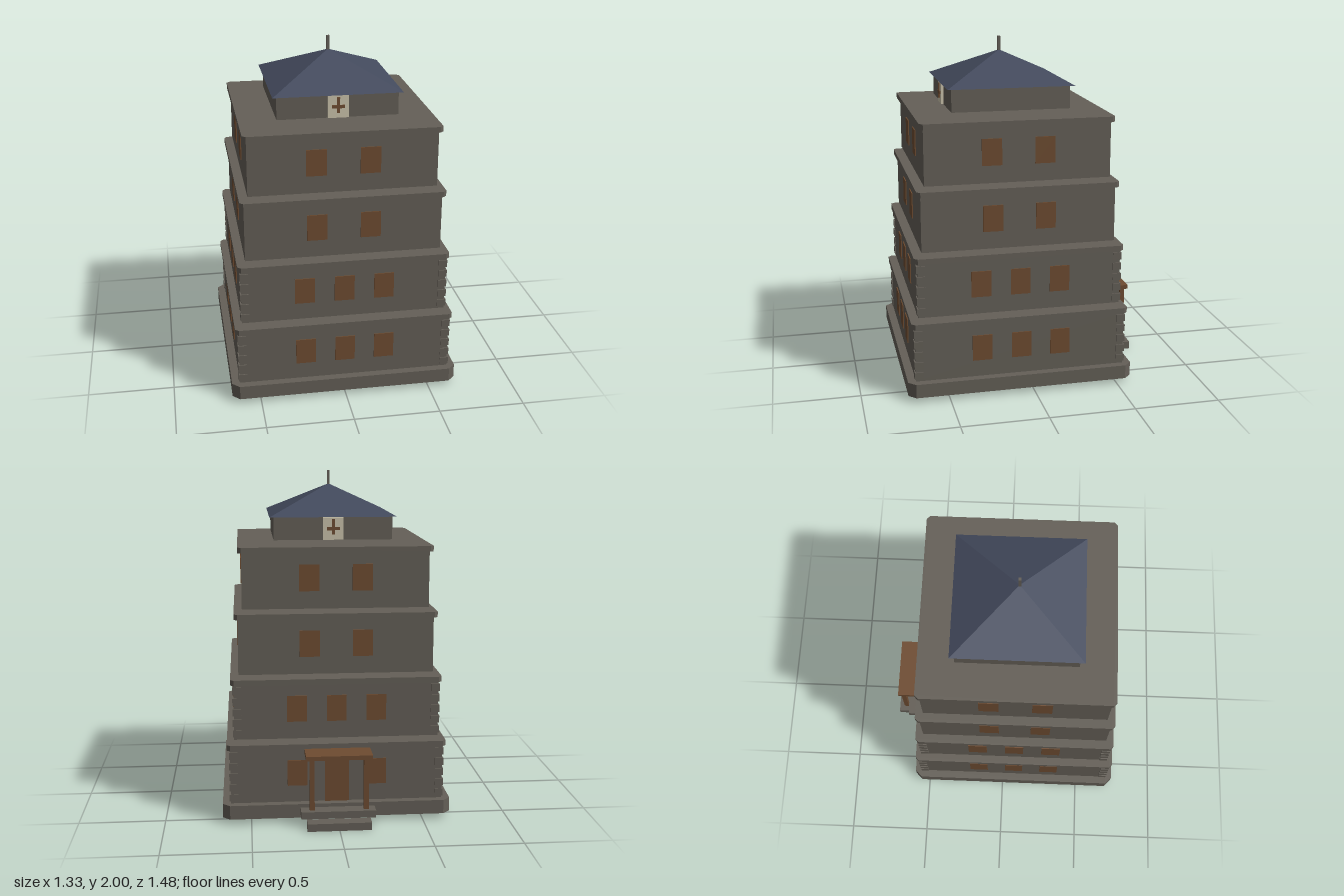
import * as THREE from 'three';

const mat = (name, color) => {
  const m = new THREE.MeshStandardMaterial({ color });
  m.name = name;
  return m;
};

export function createModel() {
  const stone = mat('grey stone', 0x645f57);
  const slate = mat('blue slate', 0x434a5d);
  const wood = mat('brown wood', 0x6e4c31);
  const plaster = mat('pale plaster', 0xcbc3ab);

  const model = new THREE.Group();
  model.name = 'tower';
  const tower = new THREE.Group();
  tower.name = 'towerBody';
  tower.position.z = 0.073;
  model.add(tower);

  const add = (parent, name, geometry, material, x = 0, y = 0, z = 0) => {
    const mesh = new THREE.Mesh(geometry, material);
    mesh.name = name;
    mesh.position.set(x, y, z);
    parent.add(mesh);
    return mesh;
  };
  const box = (parent, name, material, w, h, d, x, y, z) =>
    add(parent, name, new THREE.BoxGeometry(w, h, d), material, x, y, z);

  // Square slab with cut corners, from y0 to y1
  const slab = (name, half, cut, y0, y1) => {
    const c = half - cut;
    const shape = new THREE.Shape([
      [c, -half], [half, -c], [half, c], [c, half],
      [-c, half], [-half, c], [-half, -c], [-c, -half],
    ].map(([x, y]) => new THREE.Vector2(x, y)));
    const g = new THREE.ExtrudeGeometry(shape, { depth: y1 - y0, bevelEnabled: false });
    g.rotateX(-Math.PI / 2);
    add(tower, name, g, stone, 0, y0, 0);
  };

  slab('plinth', 0.665, 0.042, 0.03, 0.112);

  // Storeys with cornices, windows and corner stones
  const storeys = [
    { half: 0.618, cap: 0.637, y: 0.11, xs: [-0.23, 0, 0.23], quoins: true },
    { half: 0.593, cap: 0.611, y: 0.488, xs: [-0.23, 0, 0.23], quoins: true },
    { half: 0.563, cap: 0.585, y: 0.863, xs: [-0.153, 0.153] },
    { half: 0.537, cap: 0.559, y: 1.239, xs: [-0.153, 0.153] },
  ];
  storeys.forEach(({ half, cap, y, xs, quoins }, level) => {
    box(tower, 'storeyWall', stone, half * 2, 0.322, half * 2, 0, y + 0.161, 0);
    slab('cornice', cap, 0.02, y + 0.322, y + 0.354);
    for (let side = 0; side < 4; side++) {
      const face = new THREE.Group();
      face.name = 'storeyFace';
      face.rotation.y = side * Math.PI / 2;
      tower.add(face);
      for (const x of xs) {
        if (level === 0 && side === 2 && x === 0) {
          box(face, 'door', wood, 0.14, 0.27, 0.012, 0, y + 0.137, half);
        } else {
          box(face, 'window', wood, 0.115, 0.153, 0.012, x, y + 0.178, half);
        }
      }
      if (!quoins) continue;
      for (let i = 0; i < 5; i++) {
        box(face, 'cornerStone', stone, 0.05, 0.042, 0.05,
          half - 0.018, y + 0.036 + i * 0.063, half - 0.018);
      }
    }
  });

  // Top chamber with plaster panels and crosses at front and back
  box(tower, 'topChamber', stone, 0.694, 0.135, 0.694, 0, 1.679, 0);
  for (const angle of [0, Math.PI]) {
    const gable = new THREE.Group();
    gable.name = 'crossPanel';
    gable.rotation.y = angle;
    tower.add(gable);
    box(gable, 'panel', plaster, 0.12, 0.13, 0.014, 0, 1.678, 0.354);
    box(gable, 'crossUpright', wood, 0.018, 0.09, 0.008, 0, 1.688, 0.364);
    box(gable, 'crossBar', wood, 0.074, 0.018, 0.008, 0, 1.678, 0.364);
  }

  // Pyramid roof and spire
  const roof = new THREE.ConeGeometry(0.371 * Math.SQRT2, 0.175, 4);
  roof.rotateY(Math.PI / 4);
  const flatRoof = roof.toNonIndexed();
  flatRoof.computeVertexNormals();
  add(tower, 'roof', flatRoof, slate, 0, 1.8325, 0);
  box(tower, 'spire', stone, 0.016, 0.1, 0.016, 0, 1.95, 0);

  // Rear porch and steps
  box(model, 'porchRoof', wood, 0.38, 0.025, 0.175, 0, 0.424, -0.6275);
  for (const x of [-0.155, 0.155]) {
    box(model, 'porchPost', wood, 0.028, 0.3, 0.028, x, 0.262, -0.686);
  }
  box(model, 'upperStep', stone, 0.432, 0.042, 0.09, 0, 0.07, -0.627);
  box(model, 'lowerStep', stone, 0.368, 0.045, 0.075, 0, 0.0225, -0.7025);
  return model;
}
